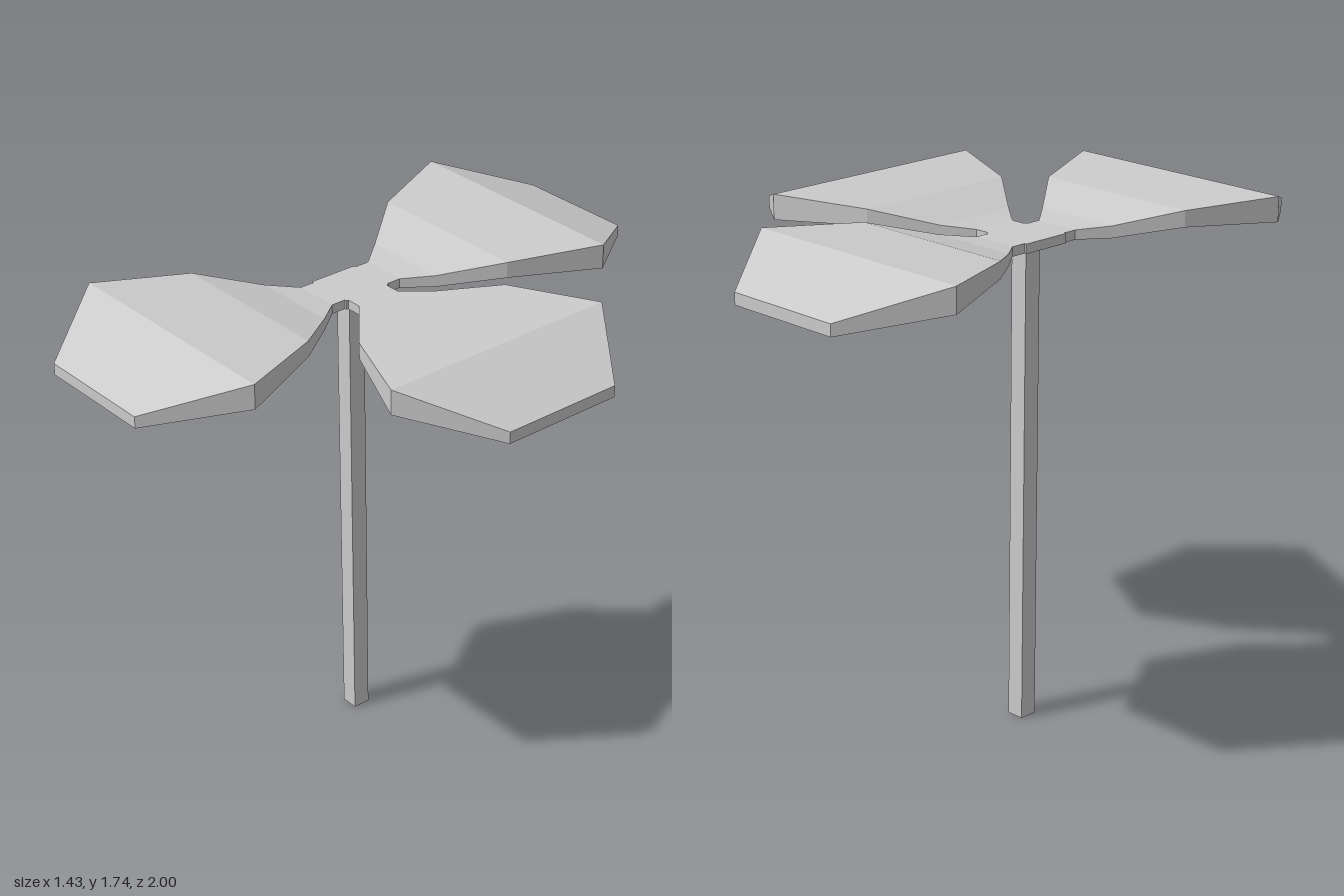
import * as THREE from 'three';

// Leaf cross-sections running outward: [distance, half width, bottom y, top y]
const LEAF = [
  [0.08, 0.08, 1.638, 1.67],
  [0.14, 0.08, 1.638, 1.67],
  [0.23, 0.153, 1.64, 1.68],
  [0.41, 0.3, 1.67, 1.725],
  [0.715, 0.43, 1.655, 1.74],
  [1.0, 0.214, 1.602, 1.642],
];

// Joins rectangular cross-sections into a closed, faceted solid along +x
function leafGeometry() {
  const pos = [];
  const index = [];
  LEAF.forEach(([r, h, bottom, top]) => {
    pos.push(r, bottom, -h, r, bottom, h, r, top, h, r, top, -h);
  });
  const quad = (a, b, c, d) => index.push(a, b, c, a, c, d);
  for (let s = 0; s < LEAF.length - 1; s++) {
    for (let k = 0; k < 4; k++) {
      const n = (k + 1) % 4;
      quad(s * 4 + k, s * 4 + 4 + k, s * 4 + 4 + n, s * 4 + n);
    }
  }
  const e = (LEAF.length - 1) * 4;
  quad(0, 1, 2, 3);
  quad(e + 3, e + 2, e + 1, e);
  const indexed = new THREE.BufferGeometry();
  indexed.setAttribute('position', new THREE.Float32BufferAttribute(pos, 3));
  indexed.setIndex(index);
  const geometry = indexed.toNonIndexed();
  geometry.computeVertexNormals();
  return geometry;
}

export function createModel() {
  const model = new THREE.Group();
  const material = new THREE.MeshStandardMaterial({ color: 0xcccccc, flatShading: true });

  function add(name, geometry, y = 0) {
    const mesh = new THREE.Mesh(geometry, material);
    mesh.name = name;
    mesh.position.y = y;
    model.add(mesh);
    return mesh;
  }

  // Square stem and the small plate where the leaves meet
  add('stem', new THREE.BoxGeometry(0.062, 1.65, 0.062), 0.825);
  add('hub', new THREE.BoxGeometry(0.176, 0.032, 0.176), 1.654);

  // Three leaves at right angles: left, back and front
  const geometry = leafGeometry();
  [['leftLeaf', 0], ['backLeaf', Math.PI / 2], ['frontLeaf', -Math.PI / 2]].forEach(([name, angle]) => {
    add(name, geometry).rotation.y = angle;
  });

  // The stem stands off centre so the three leaves balance on x = 0
  model.position.x = -0.286;
  const root = new THREE.Group();
  root.name = 'threeLeafPlant';
  model.name = 'plant';
  root.add(model);
  return root;
}
